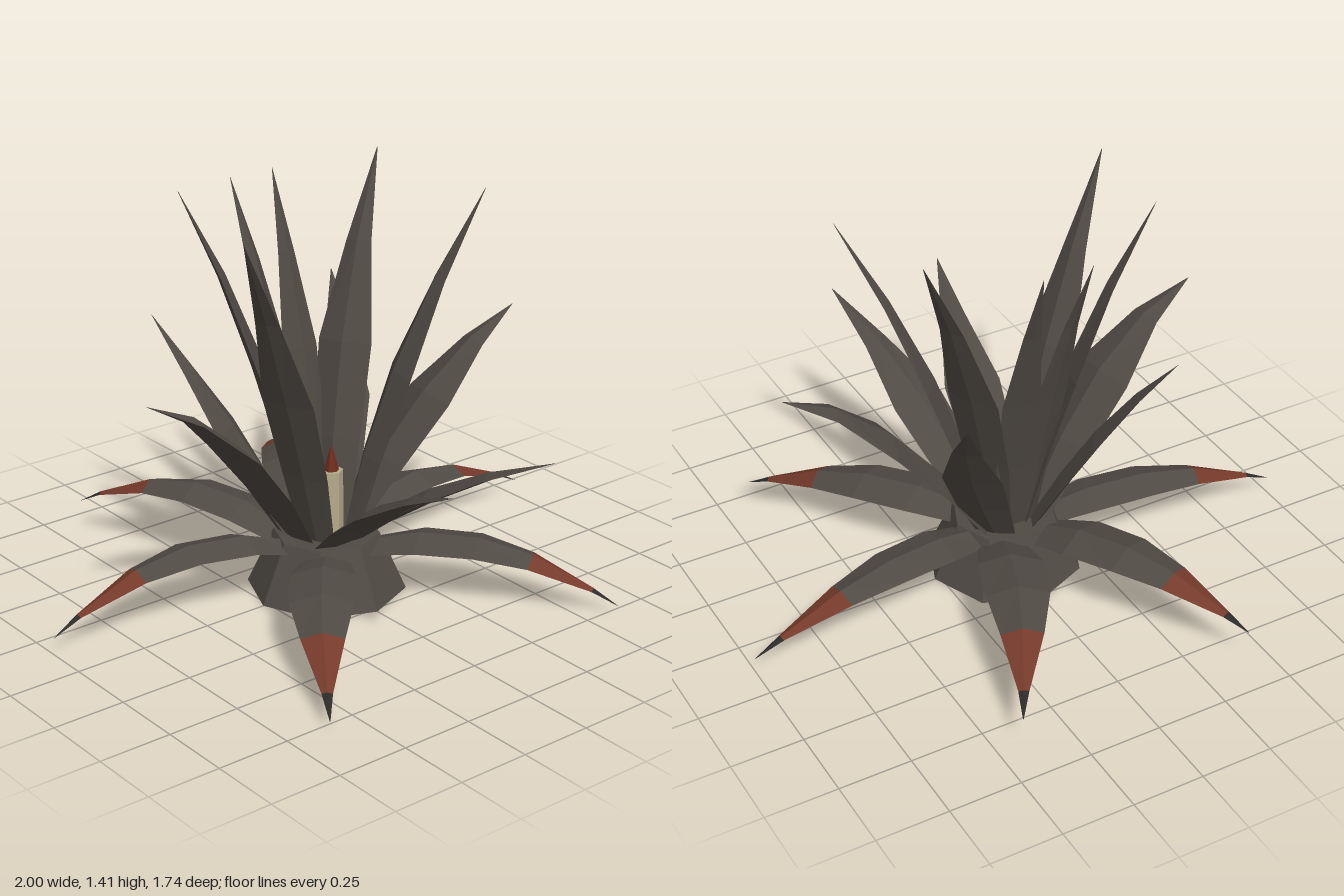
import * as THREE from 'three';

const flat = (color, name) => {
  const m = new THREE.MeshStandardMaterial({ color, flatShading: true });
  m.name = name;
  return m;
};

const V = (p, side = 1) => new THREE.Vector3(p[0] * side, p[1], p[2]);

// Stations along a leaf: [t, half width factor, thickness factor]
const FRESH = [[0, 0.65, 0.8], [0.22, 0.9, 1], [0.46, 1, 1], [0.73, 0.47, 0.6], [1, 0.01, 0.02]];
const DRY = [[0, 0.7, 0.8], [0.22, 1, 1], [0.45, 0.95, 1], [0.66, 0.64, 0.8], [0.9, 0.16, 0.25], [1, 0.01, 0.02]];

// Four-sided cross-sections (edge, raised rib, edge, keel) swept along a curve
function leafRings(base, control, tip, width, stations) {
  const curve = new THREE.QuadraticBezierCurve3(base, control, tip);
  const run = tip.clone().sub(base);
  const S = new THREE.Vector3(run.z, 0, -run.x).normalize();
  return stations.map(([t, w, h]) => {
    const c = curve.getPoint(t);
    const N = curve.getTangent(t).cross(S).normalize();
    const at = (s, n) => c.clone().addScaledVector(S, s * w * width).addScaledVector(N, n * h);
    return [at(1, -0.01), at(0, 0.022), at(-1, -0.01), at(0, -0.022)];
  });
}

function leafSection(rings, from, to, material, name) {
  const pos = [];
  const tri = (...pts) => pts.forEach((p) => pos.push(p.x, p.y, p.z));
  for (let i = from; i < to; i++) {
    for (let j = 0; j < 4; j++) {
      const k = (j + 1) % 4;
      tri(rings[i][j], rings[i][k], rings[i + 1][k]);
      tri(rings[i][j], rings[i + 1][k], rings[i + 1][j]);
    }
  }
  const geo = new THREE.BufferGeometry();
  geo.setAttribute('position', new THREE.Float32BufferAttribute(pos, 3));
  geo.computeVertexNormals();
  const mesh = new THREE.Mesh(geo, material);
  mesh.name = name;
  return mesh;
}

// Base, control point, tip, half width; each is mirrored in x
const UPPER = [
  [[0.09, 0.18, -0.03], [0.44, 0.75, 0.07], [0.76, 0.86, 0.07], 0.12],
  [[0.06, 0.18, 0.04], [0.215, 0.82, 0.08], [0.49, 1.36, 0.215], 0.095],
  [[0.05, 0.18, -0.04], [0.16, 0.9, -0.14], [0.41, 1.41, -0.24], 0.095],
  [[0.035, 0.18, -0.07], [0.05, 0.9, -0.2], [0.087, 1.36, -0.4], 0.065],
  [[0.07, 0.18, -0.08], [0.28, 0.635, -0.21], [0.38, 0.93, -0.45], 0.1],
  [[0.05, 0.18, 0.07], [0.095, 0.5, 0.42], [0.21, 0.68, 0.865], 0.1],
];
const LOWER = [
  [[0.1, 0.16, -0.03], [0.52, 0.33, -0.15], [1, 0.06, -0.14], 0.095],
  [[0.08, 0.16, 0.1], [0.375, 0.285, 0.41], [0.61, 0.03, 0.78], 0.11],
  [[0.07, 0.16, -0.1], [0.205, 0.36, -0.52], [0.42, 0.12, -0.87], 0.11],
];

export function createModel() {
  const leaf = flat(0x504a44, 'leaf grey');
  const red = flat(0x753a2b, 'dried red');
  const dark = flat(0x2c2b2a, 'tip dark');
  const cream = flat(0xb5aa8c, 'stalk cream');
  const bud = flat(0x6f2c20, 'bud red');

  const model = new THREE.Group();
  model.name = 'plant';

  const add = (geo, material, name, x, y, z) => {
    const mesh = new THREE.Mesh(geo, material);
    mesh.name = name;
    mesh.position.set(x, y, z);
    model.add(mesh);
  };

  // Stump and central flower stalk
  add(new THREE.CylinderGeometry(0.18, 0.27, 0.2, 8), leaf, 'stump', 0, 0.1, 0);
  add(new THREE.CylinderGeometry(0.04, 0.042, 0.24, 6), cream, 'stalk', 0, 0.31, 0.025);
  add(new THREE.CylinderGeometry(0.004, 0.026, 0.08, 6), bud, 'bud', 0, 0.47, 0.025);

  for (const side of [1, -1]) {
    const label = side > 0 ? 'left' : 'right';

    // Upright fresh leaves
    UPPER.forEach(([b, c, t, w]) => {
      const rings = leafRings(V(b, side), V(c, side), V(t, side), w, FRESH);
      model.add(leafSection(rings, 0, FRESH.length - 1, leaf, label + 'UpperLeaf'));
    });

    // Drooping leaves with dried red ends
    LOWER.forEach(([b, c, t, w]) => {
      const rings = leafRings(V(b, side), V(c, side), V(t, side), w, DRY);
      const group = new THREE.Group();
      group.name = label + 'LowerLeaf';
      group.add(leafSection(rings, 0, 3, leaf, 'blade'));
      group.add(leafSection(rings, 3, 4, red, 'driedEnd'));
      group.add(leafSection(rings, 4, 5, dark, 'tip'));
      model.add(group);
    });
  }
  return model;
}
